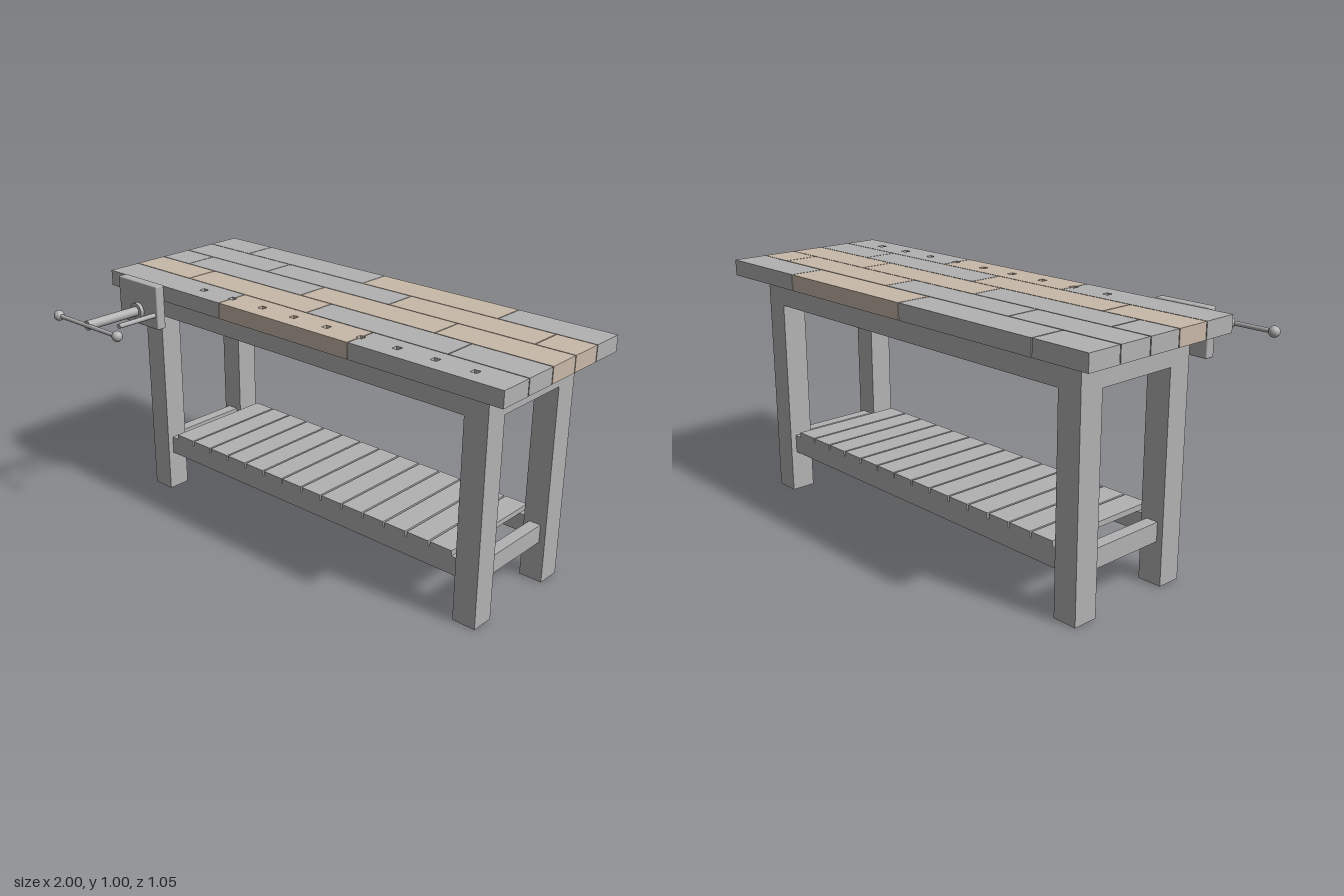
import * as THREE from 'three';
import { RoundedBoxGeometry } from 'three/addons/geometries/RoundedBoxGeometry.js';

const grey = new THREE.MeshStandardMaterial({ color: 0xb2b2b2 });
grey.name = 'grey';
const tan = new THREE.MeshStandardMaterial({ color: 0xc8b9a8 });
tan.name = 'tan';

function add(parent, name, geometry, material = grey, x = 0, y = 0, z = 0) {
  const mesh = new THREE.Mesh(geometry, material);
  mesh.name = name;
  mesh.position.set(x, y, z);
  parent.add(mesh);
  return mesh;
}

// Box given by its limits on each axis
function block(parent, name, [x0, x1], [y0, y1], [z0, z1], material = grey) {
  return add(parent, name, new THREE.BoxGeometry(x1 - x0, y1 - y0, z1 - z0), material,
    (x0 + x1) / 2, (y0 + y1) / 2, (z0 + z1) / 2);
}

// Front plank outline with square dog holes; holes on a joint become notches
function drilledPlank(parent, x0, x1, z0, z1, holes, material) {
  const h = 0.0135, hz = 0.122;
  const notchL = holes.find((x) => Math.abs(x - x0) < h);
  const notchR = holes.find((x) => Math.abs(x - x1) < h);
  const pts = [[x0, -z1], [x1, -z1]];
  if (notchR !== undefined)
    pts.push([x1, -hz - h], [notchR - h, -hz - h], [notchR - h, -hz + h], [x1, -hz + h]);
  pts.push([x1, -z0], [x0, -z0]);
  if (notchL !== undefined)
    pts.push([x0, -hz + h], [notchL + h, -hz + h], [notchL + h, -hz - h], [x0, -hz - h]);
  const shape = new THREE.Shape(pts.map(([x, y]) => new THREE.Vector2(x, y)));
  for (const x of holes) {
    if (x < x0 + h || x > x1 - h) continue;
    shape.holes.push(new THREE.Path([[-h, -h], [-h, h], [h, h], [h, -h]]
      .map(([a, b]) => new THREE.Vector2(x + a, -hz + b))));
  }
  const geo = new THREE.ExtrudeGeometry(shape, { depth: 0.065, bevelEnabled: false });
  geo.rotateX(-Math.PI / 2);
  add(parent, 'drilledPlank', geo, material, 0, 0.935, 0);
}

function createTop() {
  const top = new THREE.Group();
  top.name = 'benchTop';
  // Rows from back to front: joint positions and colour of each plank
  const rows = [
    { joints: [-0.757, -0.09, 0.577], tans: [2] },
    { joints: [-0.5, 0.167, 0.833], tans: [2, 3] },
    { joints: [-0.833, -0.167, 0.5], tans: [2, 3] },
    { joints: [-0.667, 0, 0.667], tans: [0, 1] },
    { joints: [-0.333, 0.333], tans: [1] },
  ];
  const holes = Array.from({ length: 9 }, (_, i) => -0.5 + i / 6);
  const gap = 0.002, pitch = 0.1445;
  rows.forEach(({ joints, tans }, r) => {
    const z0 = -0.525 + r * pitch + (r > 0 ? gap : 0);
    const z1 = -0.525 + (r + 1) * pitch - (r < 4 ? gap : 0);
    const ends = [-1, ...joints, 1];
    for (let i = 0; i < ends.length - 1; i++) {
      const x0 = ends[i] + (i > 0 ? gap : 0);
      const x1 = ends[i + 1] - (i < ends.length - 2 ? gap : 0);
      const material = tans.includes(i) ? tan : grey;
      if (r === 4) drilledPlank(top, x0, x1, z0, z1, holes, material);
      else block(top, 'plank', [x0, x1], [0.935, 1], [z0, z1], material);
    }
  });
  return top;
}

function createFrame() {
  const frame = new THREE.Group();
  frame.name = 'frame';
  const legZ = [[-0.435, -0.333], [0.013, 0.112]];
  const apronY = [0.825, 0.935], railY = [0.17, 0.246];

  // Legs, with end aprons and end rails joining each pair
  for (const s of [-1, 1]) {
    const span = (a, b) => (s > 0 ? [a, b] : [-b, -a]);
    for (const z of legZ) block(frame, 'leg', span(0.79, 0.89), [0, 0.935], z);
    block(frame, 'endApron', span(0.84, 0.89), apronY, [-0.333, 0.013]);
    block(frame, 'endRail', span(0.815, 0.865), railY, [-0.333, 0.013]);
  }

  // Long aprons flush with the legs, long rails set back
  block(frame, 'frontApron', [-0.79, 0.79], apronY, [0.062, 0.112]);
  block(frame, 'backApron', [-0.79, 0.79], apronY, [-0.435, -0.385]);
  block(frame, 'frontRail', [-0.79, 0.79], railY, [0.037, 0.087]);
  block(frame, 'backRail', [-0.79, 0.79], railY, [-0.41, -0.36]);

  // Shelf slats
  for (let i = 0; i < 14; i++) {
    const x = (i - 6.5) * 0.1082;
    block(frame, 'shelfSlat', [x - 0.05, x + 0.05], [0.246, 0.268], [-0.41, 0.087]);
  }
  return frame;
}

function createVise() {
  const vise = new THREE.Group();
  vise.name = 'vise';
  const x = -0.78, y = 0.88;
  const rod = (name, radius, px, z0, z1) => add(vise, name,
    new THREE.CylinderGeometry(radius, radius, z1 - z0, 24).rotateX(Math.PI / 2),
    grey, px, y, (z0 + z1) / 2);

  add(vise, 'jaw', new RoundedBoxGeometry(0.24, 0.185, 0.042, 2, 0.005), grey, x, 0.9125, 0.219);
  rod('collar', 0.035, x, 0.238, 0.256);
  rod('screw', 0.02, x, 0.25, 0.505);
  rod('guideRod', 0.01, -0.68, 0.238, 0.424);

  // Sliding handle with ball ends
  add(vise, 'handle', new THREE.CylinderGeometry(0.009, 0.009, 0.38, 16).rotateZ(Math.PI / 2),
    grey, x, y, 0.503);
  for (const s of [-1, 1])
    add(vise, 'handleBall', new THREE.SphereGeometry(0.022, 20, 14), grey, x + s * 0.189, y, 0.503);
  return vise;
}

export function createModel() {
  const bench = new THREE.Group();
  bench.name = 'workbench';
  bench.add(createTop(), createFrame(), createVise());
  return bench;
}
